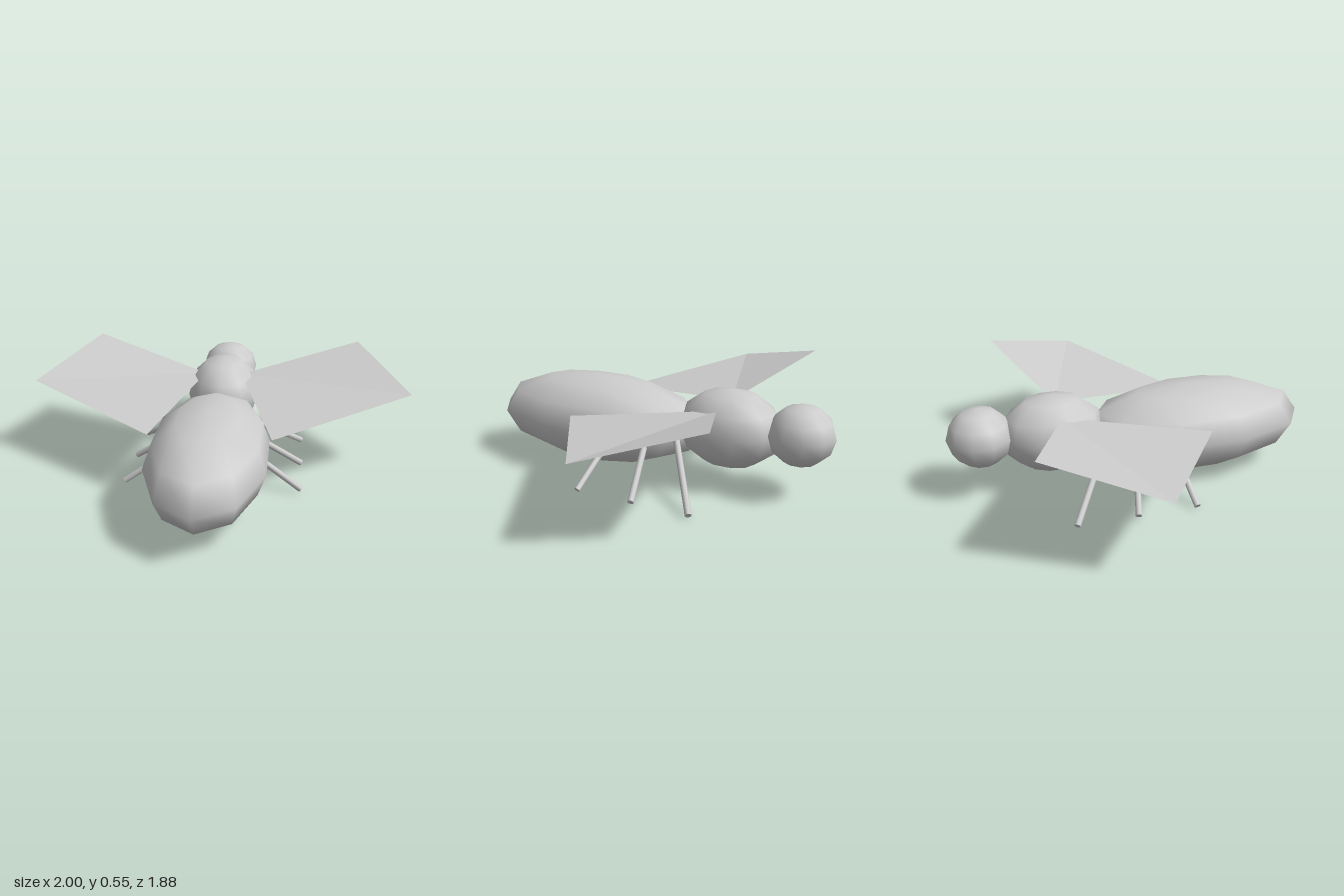
import * as THREE from 'three';

export function createModel() {
  const group = new THREE.Group();
  const bodyGrey = new THREE.MeshStandardMaterial({ color: 0xcccccc, side: THREE.DoubleSide });
  bodyGrey.name = 'bodyGrey';

  const add = (name, geometry) => {
    const mesh = new THREE.Mesh(geometry, bodyGrey);
    mesh.name = name;
    group.add(mesh);
    return mesh;
  };

  // Body: three smooth, coarse ellipsoids in a row along z
  const ellipsoid = (name, rx, ry, rz, y, z) => {
    const geo = new THREE.SphereGeometry(1, 10, 6);
    geo.rotateY(Math.PI / 2);
    geo.scale(rx, ry, rz);
    add(name, geo).position.set(0, y, z);
  };
  ellipsoid('abdomen', 0.3, 0.23, 0.61, 0.25, 0.33);
  ellipsoid('thorax', 0.2, 0.2, 0.27, 0.3, -0.42);
  ellipsoid('head', 0.165, 0.15, 0.165, 0.32, -0.78);

  // Legs: thin rods from hip to foot
  const leg = (name, hip, foot) => {
    const dir = foot.clone().sub(hip);
    const mesh = add(name, new THREE.CylinderGeometry(0.016, 0.016, dir.length(), 8));
    mesh.position.copy(hip).add(foot).multiplyScalar(0.5);
    mesh.quaternion.setFromUnitVectors(new THREE.Vector3(0, 1, 0), dir.normalize());
  };
  const legs = [
    ['front', -0.19, -0.405],
    ['middle', -0.025, -0.105],
    ['rear', 0.155, 0.195],
  ];

  // Wings: two flat triangles folded along the line from root to outer tip
  const wing = (name, s) => {
    const root = [0.1 * s, 0.41, -0.387];
    const front = [0.75 * s, 0.55, -0.625];
    const outer = [s, 0.42, -0.13];
    const rear = [0.3 * s, 0.335, 0.32];
    const faces = s > 0
      ? [root, outer, front, root, rear, outer]
      : [root, front, outer, root, outer, rear];
    const geo = new THREE.BufferGeometry();
    geo.setAttribute('position', new THREE.Float32BufferAttribute(faces.flat(), 3));
    geo.computeVertexNormals();
    add(name, geo);
  };

  for (const [side, s] of [['left', 1], ['right', -1]]) {
    wing(side + 'Wing', s);
    for (const [place, hipZ, footZ] of legs) {
      leg(`${side} ${place} leg`,
        new THREE.Vector3(0.13 * s, 0.235, hipZ),
        new THREE.Vector3(0.45 * s, 0.015, footZ));
    }
  }
  return group;
}
